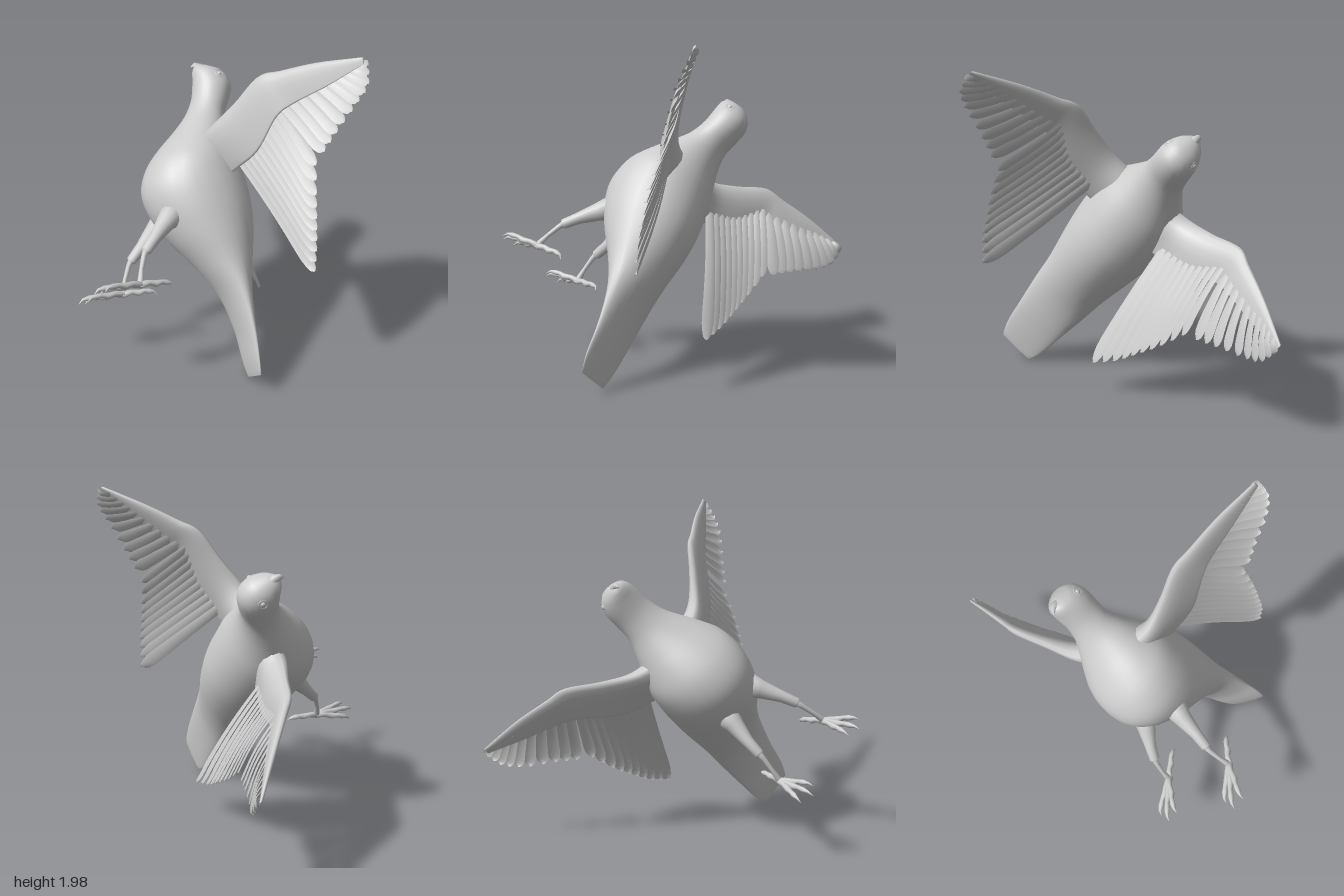
import * as THREE from 'three';

// Working frame: x = toward the head, y = toward one wing, z = toward the back
const V = (x, y, z) => new THREE.Vector3(x, y, z);
const grey = new THREE.MeshStandardMaterial({ color: 0xcccccc });
const thin = new THREE.MeshStandardMaterial({ color: 0xcccccc, side: THREE.DoubleSide });

// Skin a list of closed rings and cap both ends
function loft(rings, flip = false) {
  const n = rings[0].length, pos = [], idx = [];
  const tri = (a, b, c) => (flip ? idx.push(a, c, b) : idx.push(a, b, c));
  rings.forEach(r => r.forEach(p => pos.push(p.x, p.y, p.z)));
  for (let i = 0; i < rings.length - 1; i++)
    for (let j = 0; j < n; j++) {
      const a = i * n + j, b = i * n + (j + 1) % n;
      tri(a, b, a + n);
      tri(b, b + n, a + n);
    }
  [0, rings.length - 1].forEach((i, end) => {
    const mid = rings[i].reduce((s, p) => s.add(p), V(0, 0, 0)).divideScalar(n);
    const c = pos.length / 3;
    pos.push(mid.x, mid.y, mid.z);
    for (let j = 0; j < n; j++) {
      const a = i * n + j, b = i * n + (j + 1) % n;
      end ? tri(c, a, b) : tri(c, b, a);
    }
  });
  return finish(pos, idx);
}

function finish(pos, idx) {
  const g = new THREE.BufferGeometry();
  g.setAttribute('position', new THREE.Float32BufferAttribute(pos, 3));
  g.setIndex(idx);
  g.computeVertexNormals();
  return g;
}

// Rows of numbers, smoothly resampled; the first entry of a row is its key
function resample(rows, count) {
  const size = rows[0].length - 1;
  const spline = new THREE.CubicInterpolant(rows.map(r => r[0]), rows.flatMap(r => r.slice(1)), size);
  const a = rows[0][0], b = rows[rows.length - 1][0];
  return Array.from({ length: count + 1 }, (_, i) => {
    const t = a + (b - a) * i / count;
    return [t, ...Array.from(spline.evaluate(t))];
  });
}

// Tapered round limb along a path
function limb(points, radii, sides = 10) {
  return loft(points.map((p, i) => {
    const d = points[Math.min(i + 1, points.length - 1)].clone().sub(points[Math.max(i - 1, 0)]).normalize();
    const n1 = V(0, 1, 0).cross(d).normalize(), n2 = d.clone().cross(n1);
    return Array.from({ length: sides }, (_, j) => {
      const t = j / sides * Math.PI * 2;
      return p.clone().addScaledVector(n1, Math.cos(t) * radii[i]).addScaledVector(n2, Math.sin(t) * radii[i]);
    });
  }));
}

// Cambered blade with a rounded tip
function feather(root, tip, across, width) {
  const along = tip.clone().sub(root).normalize();
  const w = across.clone().addScaledVector(along, -across.dot(along)).normalize();
  const up = w.clone().cross(along).normalize();
  if (up.z < 0) up.negate();
  const pos = [], idx = [], N = 12;
  for (let i = 0; i <= N; i++) {
    const s = 1 - (1 - i / N) ** 1.6;
    const half = width * (0.55 + 0.45 * s) * Math.sqrt(Math.max(0, 1 - Math.max(0, (s - 0.82) / 0.18) ** 2)) + 0.001;
    for (let k = -1; k <= 1; k++) {
      const p = root.clone().lerp(tip, s)
        .addScaledVector(w, k * half)
        .addScaledVector(up, (k ? -0.004 : 0.006) + k * 0.008 + 0.02 * Math.sin(Math.PI * s));
      pos.push(p.x, p.y, p.z);
    }
    if (i < N) for (let k = 0; k < 2; k++) {
      const a = i * 3 + k;
      idx.push(a, a + 1, a + 3, a + 1, a + 4, a + 3);
    }
  }
  return finish(pos, idx);
}

export function createModel() {
  const bird = new THREE.Group();
  bird.name = 'bird';
  const add = (name, geometry, material = grey, parent = bird) => {
    const m = new THREE.Mesh(geometry, material);
    m.name = name;
    parent.add(m);
    return m;
  };

  // Body, head and tail in one skin: station, half width, back height, belly height
  const body = resample([
    [-0.38, 0.12, 0.08, 0.068], [-0.3, 0.148, 0.085, 0.05], [-0.1, 0.175, 0.095, 0.02],
    [0.13, 0.205, 0.115, -0.06], [0.3, 0.225, 0.15, -0.18], [0.5, 0.265, 0.19, -0.345],
    [0.65, 0.29, 0.2, -0.435], [0.8, 0.3, 0.185, -0.465], [0.95, 0.285, 0.155, -0.41],
    [1.05, 0.24, 0.13, -0.325], [1.15, 0.185, 0.115, -0.22], [1.25, 0.137, 0.125, -0.13],
    [1.35, 0.123, 0.17, -0.075], [1.43, 0.12, 0.19, -0.055], [1.5, 0.1, 0.162, -0.045],
    [1.545, 0.066, 0.11, -0.04], [1.565, 0.035, 0.055, -0.03],
  ], 56);
  add('body', loft(body.map(([x, a, top, low]) => Array.from({ length: 28 }, (_, j) => {
    const t = j / 28 * Math.PI * 2;
    return V(x, a * Math.cos(t), (top + low) / 2 + (top - low) / 2 * Math.sin(t));
  }))));
  add('beak', limb([V(1.52, 0, 0.02), V(1.56, 0, 0.0), V(1.572, 0, -0.025), V(1.562, 0, -0.05)],
    [0.045, 0.028, 0.018, 0.003]));

  // Wing sections: span key, leading edge xyz, trailing edge xyz, half thickness
  const sections = resample([
    [0, 1.09, 0.1, -0.07, 0.8, 0.12, 0.0, 0.11],
    [1, 1.12, 0.28, -0.04, 0.84, 0.29, 0.05, 0.085],
    [2, 1.205, 0.45, 0.045, 0.9, 0.46, 0.12, 0.058],
    [3, 1.305, 0.61, 0.135, 1.05, 0.635, 0.19, 0.045],
    [4, 1.3, 0.72, 0.22, 1.1, 0.735, 0.265, 0.036],
    [5, 1.285, 0.9, 0.365, 1.14, 0.91, 0.39, 0.026],
    [6, 1.24, 1.115, 0.53, 1.2, 1.115, 0.53, 0.012],
  ], 30);
  // Feather roots and tips run along these curves
  const path = pts => new THREE.CatmullRomCurve3(pts.map(p => V(...p)));
  const rows = [
    { name: 'innerFeather', count: 10, width: [0.044, 0.036],
      root: path([[0.97, 0.28, 0.03], [1.08, 0.45, 0.08], [1.21, 0.6, 0.15]]),
      tip: path([[0.17, 0.45, 0.36], [0.29, 0.54, 0.35], [0.42, 0.6, 0.345], [0.56, 0.66, 0.34], [0.74, 0.715, 0.345]]) },
    { name: 'outerFeather', count: 10, width: [0.043, 0.03],
      root: path([[1.21, 0.64, 0.17], [1.24, 0.85, 0.33], [1.22, 1.06, 0.49]]),
      tip: path([[0.8, 0.79, 0.375], [0.89, 0.9, 0.425], [0.99, 1.03, 0.485], [1.08, 1.105, 0.54], [1.19, 1.125, 0.55]]) },
  ];

  for (const s of [1, -1]) {
    const side = s > 0 ? 'upper' : 'lower';
    // The two wings are raised and swept slightly differently
    const M = p => V(p.x - s * 0.022 * p.y, p.y * s + 0.012, p.z + s * 0.02 * p.y);

    // Wing
    const wing = new THREE.Group();
    wing.name = side + 'Wing';
    bird.add(wing);
    add('wingArm', loft(sections.map(([, ax, ay, az, bx, by, bz, h]) =>
      Array.from({ length: 16 }, (_, j) => {
        const t = j / 16 * Math.PI * 2, q = (1 - Math.sin(t)) / 2;
        const p = V(ax, ay, az).lerp(V(bx, by, bz), q);
        p.z += h * Math.cos(t) * (1.15 - 0.95 * q);
        return M(p);
      })), s < 0), grey, wing);
    for (const r of rows)
      for (let i = 0; i < r.count; i++) {
        const t = i / (r.count - 1);
        const across = r.tip.getTangent(t).add(r.root.getTangent(t));
        across.y *= s;
        const w = THREE.MathUtils.lerp(r.width[0], r.width[1], t);
        add(r.name, feather(M(r.root.getPoint(t)), M(r.tip.getPoint(t)), across, w), thin, wing);
      }

    // Leg with three front toes and one hind toe
    const leg = new THREE.Group();
    leg.name = side + 'Leg';
    bird.add(leg);
    const P = (x, y, z) => V(x, y * s + 0.01, z);
    add('thigh', limb([P(0.66, 0.1, -0.28), P(0.57, 0.14, -0.39), P(0.48, 0.178, -0.475), P(0.41, 0.2, -0.54), P(0.395, 0.202, -0.55)],
      [0.1, 0.057, 0.036, 0.031, 0.012], 14), grey, leg);
    add('shank', limb([P(0.43, 0.195, -0.53), P(0.38, 0.205, -0.56), P(0.3, 0.222, -0.59), P(0.24, 0.233, -0.605), P(0.2, 0.235, -0.61)],
      [0.022, 0.016, 0.013, 0.018, 0.02]), grey, leg);
    const toes = [[0.19, -0.84], [0.25, -0.885], [0.315, -0.835], [0.208, -0.405]];
    toes.forEach(([y, z], i) => {
      const at = (t, x) => P(x, 0.235 + (y - 0.235) * t, -0.605 + (z + 0.605) * t);
      add(i < 3 ? 'frontToe' : 'hindToe', limb(
        [at(0, 0.215), at(0.25, 0.222), at(0.45, 0.212), at(0.62, 0.22), at(0.76, 0.215), at(0.9, 0.21), at(1, 0.185)],
        [0.022, 0.016, 0.02, 0.014, 0.017, 0.009, 0.001], 8), grey, leg);
    });

    // Eye with its rim
    const eye = add('eye', new THREE.SphereGeometry(0.018, 14, 10));
    eye.position.set(1.48, 0.092 * s, 0.095);
    const rim = add('eyeRim', new THREE.TorusGeometry(0.024, 0.006, 8, 20));
    rim.position.set(1.48, 0.096 * s, 0.096);
    rim.quaternion.setFromUnitVectors(V(0, 0, 1), V(0.4, 0.85 * s, 0.3).normalize());
  }

  // Tilt into the banking, feet-forward pose
  const F = V(0.296, 0.77, -0.564).normalize();
  const U = F.clone().cross(V(-0.251, 0.633, 0.733)).normalize();
  const L = U.clone().cross(F);
  bird.quaternion.setFromRotationMatrix(new THREE.Matrix4().makeBasis(F, L, U));
  bird.position.copy(L).multiplyScalar(0.606);
  const model = new THREE.Group();
  model.name = 'model';
  model.add(bird);
  return model;
}
